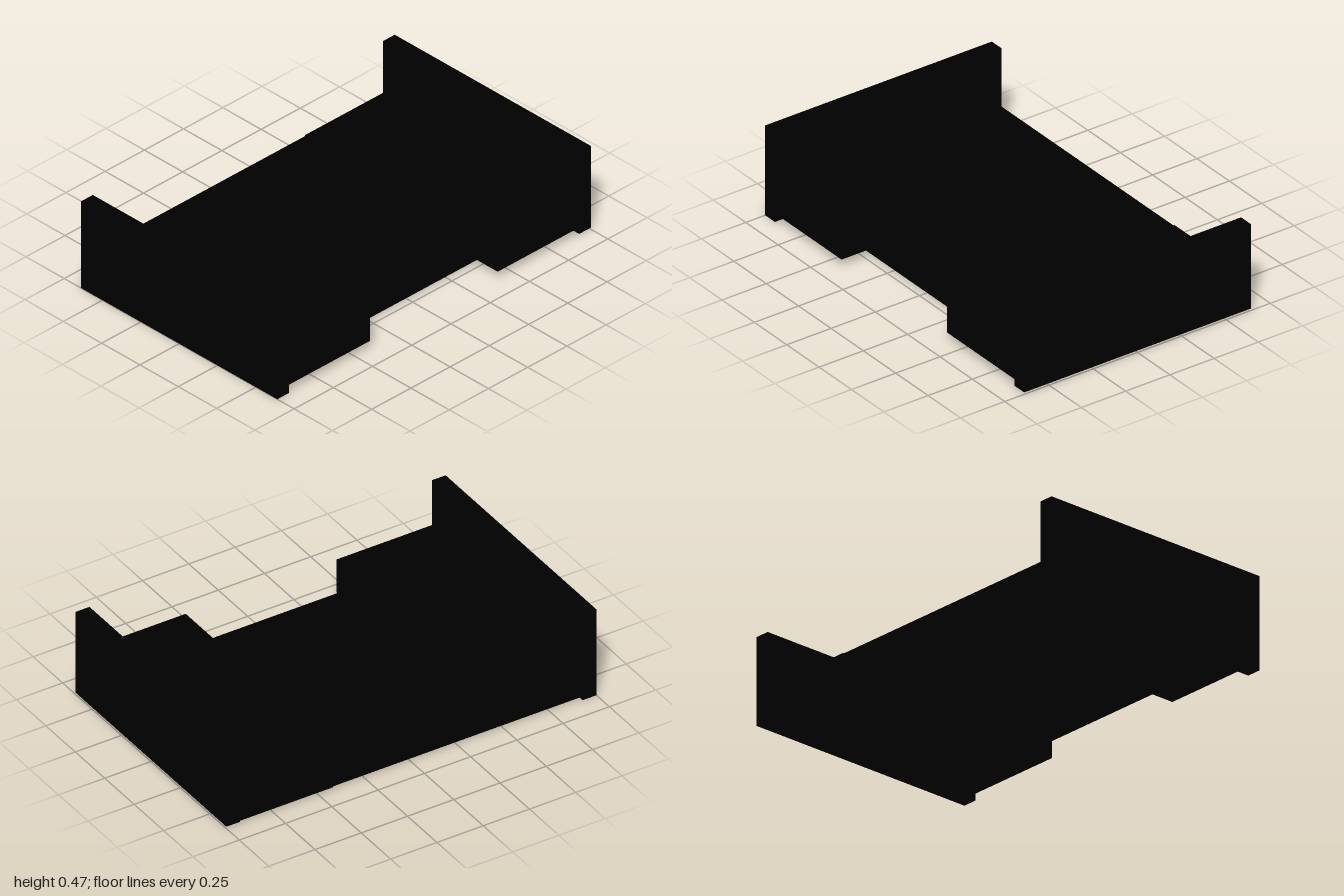
import * as THREE from 'three';

export function createModel() {
  const model = new THREE.Group();
  model.name = 'mountingTray';
  const black = new THREE.MeshStandardMaterial({ color: 0x000000 });
  black.name = 'black plastic';

  // Box given by its lower and upper corners
  function box(name, x0, x1, y0, y1, z0, z1) {
    const mesh = new THREE.Mesh(new THREE.BoxGeometry(x1 - x0, y1 - y0, z1 - z0), black);
    mesh.position.set((x0 + x1) / 2, (y0 + y1) / 2, (z0 + z1) / 2);
    mesh.name = name;
    model.add(mesh);
  }

  // Points on the plan, with shape y = -z
  const toPlan = (points) => points.map(([x, z]) => new THREE.Vector2(x, -z));

  // Base plate outline, counter-clockwise so that the hole walls face inwards
  const plan = new THREE.Shape(toPlan([
    [-0.93, 0.467], [0.93, 0.467], [0.93, -0.633], [0.42, -0.633], [0.42, -0.627], [-0.93, -0.627],
  ]));

  // Three ventilation slots
  for (const [z0, z1] of [[-0.333, -0.202], [-0.11, 0.013], [0.1, 0.232]]) {
    plan.holes.push(new THREE.Path(toPlan([[-0.345, z0], [-0.345, z1], [0.285, z1], [0.285, z0]])));
  }

  // Four screw holes
  for (const [x, z] of [[-0.495, -0.428], [0.527, -0.408], [-0.525, 0.337], [0.549, 0.348]]) {
    plan.holes.push(new THREE.Path().absarc(x, -z, 0.043, 0, Math.PI * 2, true));
  }

  const plateGeometry = new THREE.ExtrudeGeometry(plan, {
    depth: 0.17, bevelEnabled: false, curveSegments: 8,
  });
  plateGeometry.rotateX(-Math.PI / 2);
  const plate = new THREE.Mesh(plateGeometry, black);
  plate.name = 'basePlate';
  plate.position.y = 0.01;
  model.add(plate);

  // Side walls
  box('rightWall', -1, -0.925, 0, 0.475, -0.64, 0.64);
  box('leftWall', 0.925, 1, 0.01, 0.457, -0.64, 0.64);

  // Front blocks: raised above the plate, projecting forward with a higher underside
  box('rightFrontBlock', -0.93, -0.41, 0.045, 0.227, 0.382, 0.64);
  box('leftFrontBlock', 0.405, 0.93, 0.045, 0.227, 0.392, 0.64);

  // Low ledge behind the left block
  box('leftLedge', 0.6, 0.93, 0.17, 0.195, 0.292, 0.395);

  return model;
}
